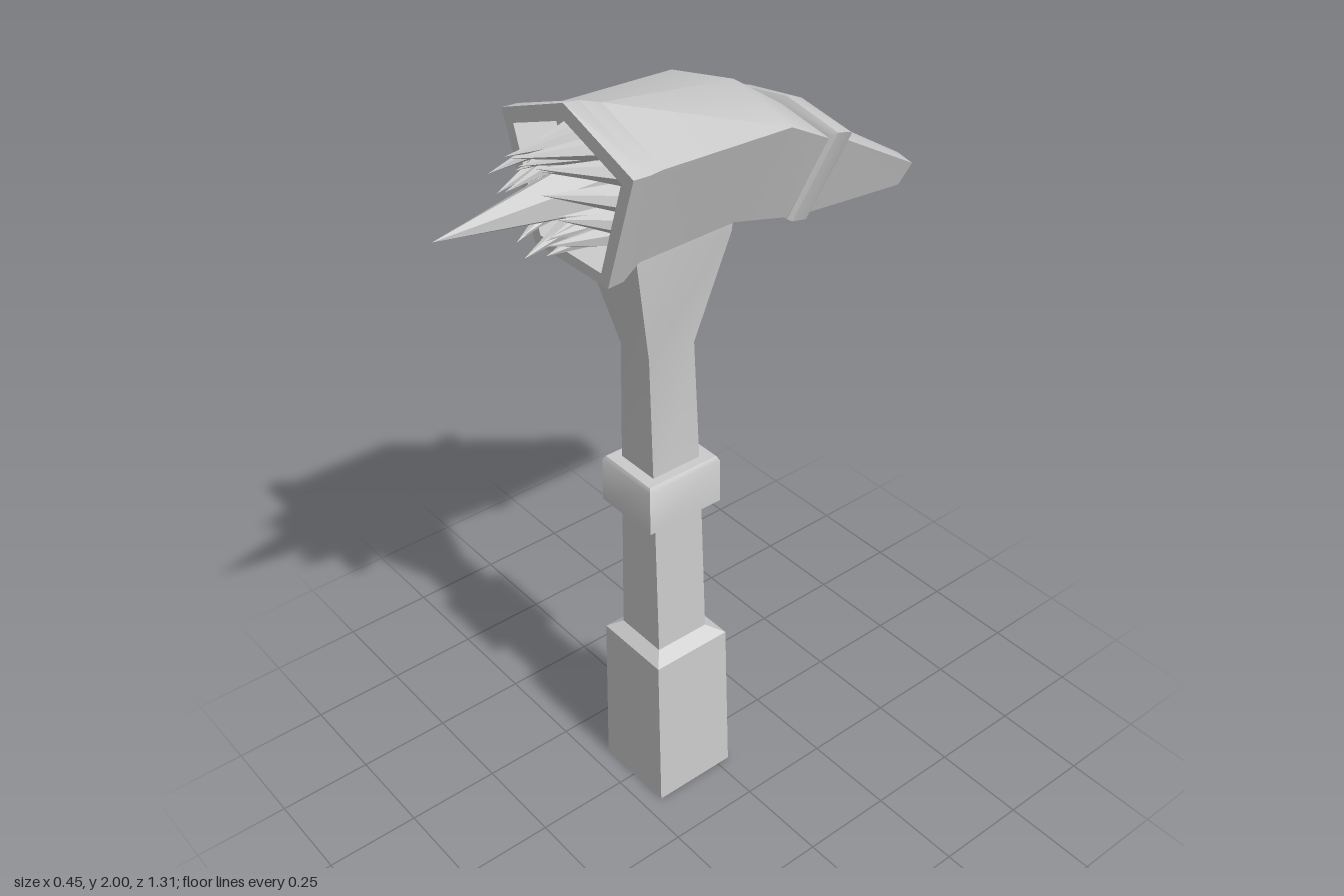
import * as THREE from 'three';
import { toCreasedNormals } from 'three/addons/utils/BufferGeometryUtils.js';

const material = new THREE.MeshStandardMaterial({ color: 0xcccccc });

// Skin a stack of equal-length rings of points and close both ends.
function loft(name, rings) {
  const n = rings[0].length, last = rings.length - 1;
  const points = rings.flat(), index = [];
  for (let i = 0; i < last; i++) {
    for (let j = 0; j < n; j++) {
      const k = (j + 1) % n;
      const a = i * n + j, b = i * n + k, c = a + n, d = b + n;
      index.push(a, c, b, b, c, d);
    }
  }
  for (const r of [0, last]) {
    const centre = new THREE.Vector3();
    rings[r].forEach((p) => centre.addScaledVector(p, 1 / n));
    const m = points.push(centre) - 1;
    for (let j = 0; j < n; j++) {
      const a = r * n + j, b = r * n + (j + 1) % n;
      index.push(m, ...(r === 0 ? [a, b] : [b, a]));
    }
  }
  const geometry = new THREE.BufferGeometry().setFromPoints(points);
  geometry.setIndex(index);
  const mesh = new THREE.Mesh(toCreasedNormals(geometry, 0.72), material);
  mesh.name = name;
  return mesh;
}

// Five-sided section: ridge point, shoulder pair, lower pair.
function pentagon([ry, rz], [sx, sy, sz], [bx, by, bz]) {
  return [[0, ry, rz], [-sx, sy, sz], [-bx, by, bz], [bx, by, bz], [sx, sy, sz]]
    .map((p) => new THREE.Vector3(...p));
}

// Rectangular section of the handle at height y.
function rectangle([y, hx, front, back]) {
  return [[hx, front], [-hx, front], [-hx, back], [hx, back]]
    .map(([x, z]) => new THREE.Vector3(x, y, z));
}

// Cone running from a base point to a tip point.
function spike(name, base, tip, radius, sides) {
  const axis = tip.clone().sub(base);
  const geometry = new THREE.ConeGeometry(radius, axis.length(), sides);
  const mesh = new THREE.Mesh(toCreasedNormals(geometry, 0.5), material);
  mesh.position.copy(base).addScaledVector(axis, 0.5);
  mesh.quaternion.setFromUnitVectors(new THREE.Vector3(0, 1, 0), axis.normalize());
  mesh.name = name;
  return mesh;
}

export function createModel() {
  const model = new THREE.Group();
  model.name = 'spikedWarHammer';

  // Handle: thick grip, tapering shaft, flared neck
  model.add(loft('handle', [
    [0, 0.117, 0.2, -0.037],
    [0.465, 0.109, 0.197, -0.027],
    [0.49, 0.074, 0.166, 0.013],
    [0.9, 0.064, 0.165, 0.02],
    [1.35, 0.052, 0.165, 0.033],
    [1.64, 0.106, 0.235, -0.03],
    [1.7, 0.106, 0.235, -0.03],
  ].map(rectangle)));

  // Band around the shaft
  model.add(loft('handleCollar', [
    [0.89, 0.086, 0.196, -0.01],
    [0.895, 0.094, 0.202, -0.016],
    [1.015, 0.092, 0.201, -0.015],
    [1.026, 0.085, 0.195, -0.009],
  ].map(rectangle)));

  // Head: hollow mouth, rim, body, bend and rear beak with a hollow tip
  model.add(loft('head', [
    pentagon([1.95, 0.23], [0.175, 1.885, 0.23], [0.102, 1.665, 0.23]),
    pentagon([1.962, 0.33], [0.185, 1.893, 0.33], [0.108, 1.66, 0.33]),
    pentagon([2.0, 0.33], [0.225, 1.915, 0.33], [0.13, 1.633, 0.33]),
    pentagon([1.995, 0.29], [0.225, 1.913, 0.29], [0.13, 1.635, 0.29]),
    pentagon([1.975, 0.235], [0.2, 1.9, 0.235], [0.115, 1.655, 0.235]),
    pentagon([1.93, -0.12], [0.2, 1.89, -0.11], [0.113, 1.66, -0.03]),
    pentagon([1.828, -0.27], [0.16, 1.805, -0.263], [0.1, 1.611, -0.2]),
    pentagon([1.797, -0.33], [0.142, 1.78, -0.325], [0.09, 1.595, -0.262]),
    pentagon([1.597, -0.656], [0.053, 1.588, -0.654], [0.035, 1.531, -0.63]),
    pentagon([1.588, -0.653], [0.042, 1.582, -0.651], [0.027, 1.538, -0.633]),
    pentagon([1.598, -0.625], [0.036, 1.592, -0.623], [0.024, 1.549, -0.605]),
  ]));

  // Slanted band where the beak meets the body
  model.add(loft('headCollar', [
    pentagon([1.835, -0.266], [0.162, 1.812, -0.26], [0.104, 1.608, -0.196]),
    pentagon([1.848, -0.278], [0.175, 1.822, -0.272], [0.112, 1.603, -0.205]),
    pentagon([1.83, -0.325], [0.168, 1.808, -0.318], [0.108, 1.592, -0.25]),
    pentagon([1.82, -0.335], [0.16, 1.798, -0.329], [0.102, 1.594, -0.262]),
  ]));

  // Swirl of spikes in the mouth around one long central spike
  const spikes = new THREE.Group();
  spikes.name = 'mouthSpikes';
  const midY = 1.805;
  const polar = (r, angle, z) =>
    new THREE.Vector3(r * Math.cos(angle), midY + r * Math.sin(angle), z);
  const rings = [
    { count: 12, baseR: 0.115, tipR: 0.108, tipZ: 0.455, radius: 0.031 },
    { count: 10, baseR: 0.085, tipR: 0.082, tipZ: 0.43, radius: 0.029 },
  ];
  rings.forEach(({ count, baseR, tipR, tipZ, radius }) => {
    for (let i = 0; i < count; i++) {
      const angle = (i / count) * Math.PI * 2;
      const tip = polar(tipR, angle + 0.65, tipZ - 0.02 * (i % 2));
      spikes.add(spike('mouthSpike', polar(baseR, angle, 0.25), tip, radius, 6));
    }
  });
  spikes.add(spike('centralSpike', new THREE.Vector3(0, midY, 0.24),
    new THREE.Vector3(0, 1.8, 0.657), 0.075, 6));
  model.add(spikes);

  return model;
}
